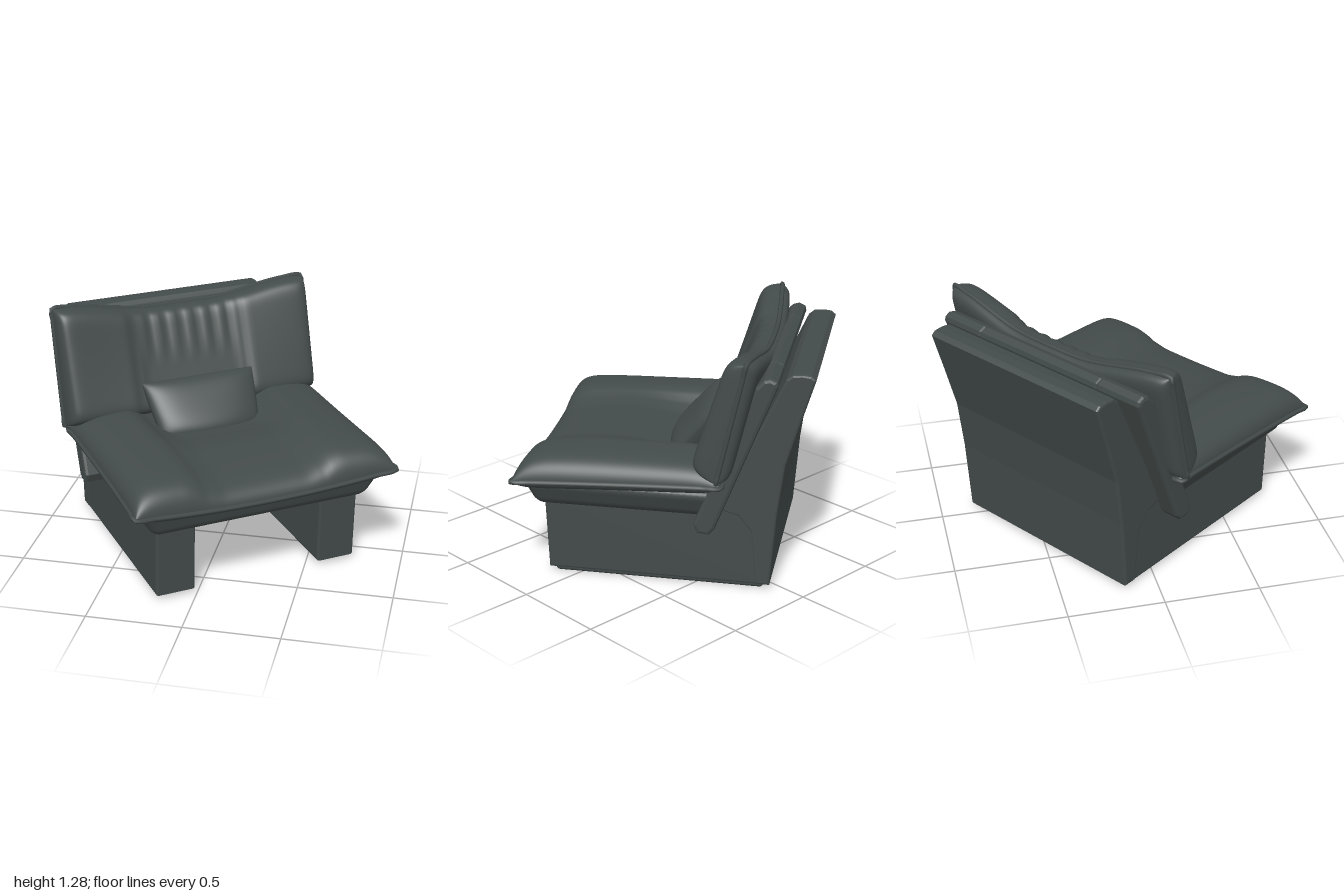
import * as THREE from 'three';
import { RoundedBoxGeometry } from 'three/addons/geometries/RoundedBoxGeometry.js';

const { lerp, smoothstep } = THREE.MathUtils;
const leather = new THREE.MeshStandardMaterial({ color: 0x434b4a });
leather.name = 'dark grey leather';

function add(parent, name, geometry, x = 0, y = 0, z = 0) {
  const mesh = new THREE.Mesh(geometry, leather);
  mesh.name = name;
  mesh.position.set(x, y, z);
  parent.add(mesh);
}

// Side profile of [z, y] points, extruded across the width
function prism(points, width, bevel = 0.012) {
  const shape = new THREE.Shape(points.map(p => new THREE.Vector2(p[0], p[1])));
  const geo = new THREE.ExtrudeGeometry(shape, {
    depth: width - 2 * bevel, bevelThickness: bevel, bevelSize: bevel,
    bevelOffset: -bevel, bevelSegments: 2,
  });
  geo.rotateY(-Math.PI / 2);
  geo.translate(width / 2 - bevel, 0, 0);
  return geo;
}

// How full a cushion is at (a, b), both -1..1; zero along the border, boxier with higher powers
const fullness = (a, b, pa, pb) =>
  Math.sqrt(Math.max(0, (1 - Math.abs(a) ** pa) * (1 - Math.abs(b) ** pb)));

// Closed cushion: surface(a, b, side) with side +1 on the face, -1 on the underside, 0 on the border
function cushion(surface, n) {
  const pos = [], index = [];
  const ease = i => Math.sin((i / n - 0.5) * Math.PI);
  for (const side of [1, -1]) {
    const start = pos.length / 3;
    for (let j = 0; j <= n; j++)
      for (let i = 0; i <= n; i++) pos.push(...surface(ease(i), ease(j), side));
    for (let j = 0; j < n; j++)
      for (let i = 0; i < n; i++) {
        const p = start + j * (n + 1) + i, q = p + 1, r = p + n + 1, s = r + 1;
        if (side > 0) index.push(p, r, q, q, r, s);
        else index.push(p, q, r, q, s, r);
      }
  }
  const geo = new THREE.BufferGeometry();
  geo.setAttribute('position', new THREE.Float32BufferAttribute(pos, 3));
  geo.setIndex(index);
  geo.computeVertexNormals();
  return geo;
}

// Piping that follows the border of a cushion
function piping(surface, radius) {
  const pts = [], n = 12;
  const corners = [[-1, -1], [1, -1], [1, 1], [-1, 1]];
  corners.forEach((c, k) => {
    const d = corners[(k + 1) % 4];
    for (let i = 0; i < n; i++) {
      const t = i / n;
      pts.push(new THREE.Vector3(...surface(lerp(c[0], d[0], t), lerp(c[1], d[1], t), 0)));
    }
  });
  return new THREE.TubeGeometry(new THREE.CatmullRomCurve3(pts, true), 160, radius, 6, true);
}

const seam = (a, at) => Math.exp(-(((Math.abs(a) - at) / 0.025) ** 2));

// Seat and arms in one sheet: raised arms, lower middle, front edge sagging between the corners
function seatSurface(a, b, side) {
  const front = Math.max(b, 0);
  const edge = 0.59 - 0.025 * b - 0.04 * (1 - a * a) * front * front;
  const f = side > 0 ? fullness(a, b, 9, 9) : fullness(a, b, 14, 9);
  const arm = smoothstep(Math.abs(a), 0.3, 0.62);
  const middle = lerp(0.03, 0.085, smoothstep(b, -0.5, 0.3));
  const puff = side > 0
    ? lerp(middle, 0.133 + 0.017 * b, arm) - 0.01 * seam(a, 0.45)
    : -0.06;
  return [
    a * (0.724 - 0.008 * (1 - b * b)),
    edge + Math.abs(side) * f * puff,
    0.14 + b * 0.535 - 0.01 * front * (1 - a * a),
  ];
}

// Leaning back cushion with two thick wings and a gathered middle; b = -1 is the top
function backSurface(a, b, side) {
  const t = (1 - b) / 2, w = Math.abs(a);
  const top = 1.185 + 0.078 * smoothstep(w, 0.2, 0.95);
  const f = fullness(a, b, 36, 12) * Math.abs(side);
  const middle = 1 - smoothstep(w, 0.36, 0.46);
  const folds = 0.006 * Math.sin(a * 50) * middle * smoothstep(t, 0.4, 0.8);
  const puff = side > 0
    ? lerp(0.15, 0.105, t) - 0.02 * middle - 0.014 * seam(a, 0.44) + folds
    : -0.06;
  return [
    a * 0.738 - 0.008,
    lerp(0.64, top, t) + f * puff * 0.2,
    lerp(-0.375, -0.515, t) - 0.045 * t * (1 - a * a) + f * puff,
  ];
}

// Wedge pillow at the foot of the back, bulging over the seat
function lumbarSurface(a, b, side) {
  const t = (1 - b) / 2;
  const puff = fullness(a, b, 5, 4) * (side > 0 ? 0.055 : side < 0 ? -0.12 : 0);
  return [
    a * lerp(0.285, 0.325, t),
    lerp(0.6, 0.85, t) + puff * 0.6,
    lerp(-0.09 + 0.045 * (1 - a * a), -0.29, t) + puff * 0.8,
  ];
}

// Padded frame, narrowing downwards
function frameGeometry() {
  const geo = new RoundedBoxGeometry(1.34, 0.16, 1.02, 5, 0.05);
  const p = geo.attributes.position;
  for (let i = 0; i < p.count; i++) {
    const k = lerp(0.89, 1, p.getY(i) / 0.16 + 0.5);
    p.setX(i, p.getX(i) * k);
    p.setZ(i, p.getZ(i) * k);
  }
  geo.computeVertexNormals();
  return geo;
}

export function createModel() {
  const model = new THREE.Group();
  model.name = 'armchair';
  const chair = new THREE.Group();
  chair.name = 'turnedChair';
  chair.rotation.y = 0.615;
  chair.position.set(-0.025, 0, 0.017);
  model.add(chair);

  // Back shell, from the floor to the top
  add(chair, 'backShell', prism([
    [-0.635, 0.025], [-0.56, 0.025], [-0.53, 0.32], [-0.47, 0.4], [-0.36, 0.43],
    [-0.69, 1.15], [-0.72, 1.175], [-0.77, 1.18], [-0.815, 1.175], [-0.838, 1.155],
    [-0.77, 0.93], [-0.7, 0.69], [-0.665, 0.42],
  ], 1.14), -0.004);

  // Side panels with a shallow plinth below
  for (const s of [-1, 1]) {
    add(chair, 'sidePanel', prism([
      [-0.635, 0.025], [0.53, 0.025], [0.547, 0.44], [-0.66, 0.44],
    ], 0.215), s * 0.46 - 0.004);
    add(chair, 'plinth', new RoundedBoxGeometry(0.18, 0.05, 1.1, 3, 0.02), s * 0.46, 0.025, -0.05);
  }

  // Inner back board behind the cushion; its outer strips reach lower than the middle
  const boardTop = [
    [-0.55, 1.13], [-0.59, 1.172], [-0.625, 1.182], [-0.66, 1.165], [-0.665, 1.14],
  ];
  add(chair, 'backBoard', prism([[-0.28, 0.46], ...boardTop, [-0.39, 0.46]], 0.8), -0.01);
  for (const s of [-1, 1])
    add(chair, 'backBoardSide', prism(
      [[-0.27, 0.33], [-0.25, 0.38], ...boardTop, [-0.36, 0.36], [-0.33, 0.325]], 0.28, 0.018,
    ), s * 0.53 - 0.01);

  // Padded frame under the seat
  add(chair, 'seatFrame', frameGeometry(), 0, 0.475, 0.13);

  // Cushions with piped edges
  add(chair, 'seatCushion', cushion(seatSurface, 72));
  add(chair, 'seatPiping', piping(seatSurface, 0.013));
  add(chair, 'backCushion', cushion(backSurface, 96));
  add(chair, 'backPiping', piping(backSurface, 0.013));
  add(chair, 'lumbarPillow', cushion(lumbarSurface, 32));
  return model;
}
